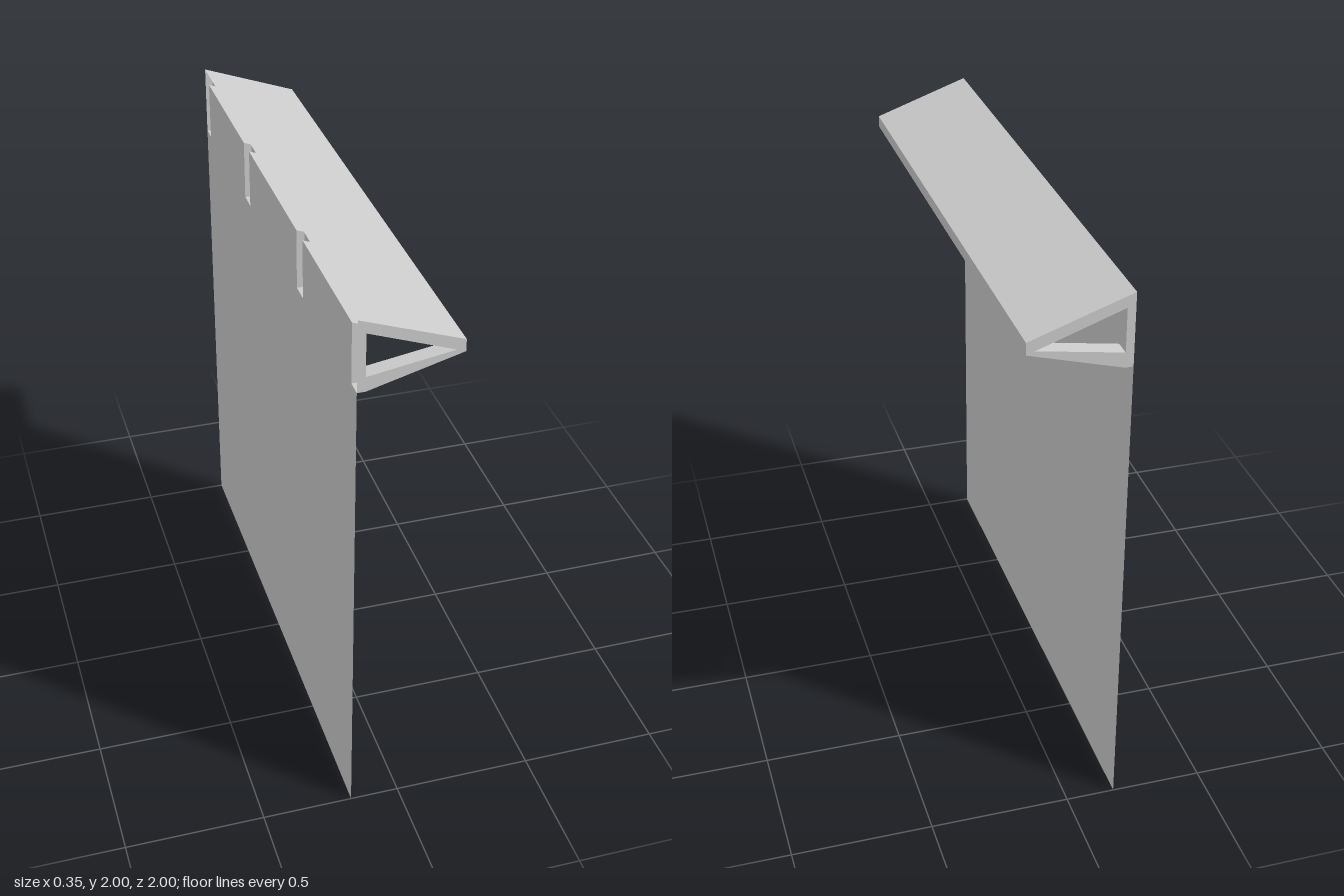
import * as THREE from 'three';

const BACK = -0.175, INNER = -0.147, FRONT = 0.175, SEAT = 1.96;
// z ranges of the four brackets, front to back
const BRACKETS = [[0.943, 1], [0.322, 0.396], [-0.386, -0.311], [-1, -0.94]];

const material = new THREE.MeshStandardMaterial({ color: 0xcccccc, side: THREE.DoubleSide, flatShading: true });

function add(parent, name, geometry) {
  const mesh = new THREE.Mesh(geometry, material);
  mesh.name = name;
  parent.add(mesh);
  return mesh;
}

const shapeOf = (points) => new THREE.Shape(points.map(([x, y]) => new THREE.Vector2(x, y)));

// Sheet swept along z from a profile in x and y, open at both ends
function sheet(profile, z0, z1) {
  const positions = [];
  for (let i = 0; i < profile.length - 1; i++) {
    const [ax, ay] = profile[i], [bx, by] = profile[i + 1];
    positions.push(ax, ay, z0, bx, by, z0, bx, by, z1, ax, ay, z0, bx, by, z1, ax, ay, z1);
  }
  const geometry = new THREE.BufferGeometry();
  geometry.setAttribute('position', new THREE.Float32BufferAttribute(positions, 3));
  geometry.computeVertexNormals();
  return geometry;
}

export function createModel() {
  const model = new THREE.Group();
  model.name = 'wallCanopy';

  // Thin wall, notched behind each bracket
  const outline = [[-1, 0], [1, 0]];
  for (const [z0, z1] of BRACKETS) {
    outline.push([z1, SEAT], [z1, 1.743], [z0, 1.743], [z0, SEAT]);
  }
  // The end notches reach the wall's edges, so their outer corners fall away
  const wallPoints = outline.filter(([z, y]) => !(Math.abs(z) === 1 && y === SEAT));
  const wall = new THREE.ShapeGeometry(shapeOf(wallPoints));
  wall.rotateY(-Math.PI / 2).translate(BACK, 0, 0);
  add(model, 'wall', wall);

  // Sloping roof slab, open where it meets the wall
  const roof = new THREE.Group();
  roof.name = 'roof';
  model.add(roof);
  add(roof, 'roofSlab', sheet([[BACK, 2], [FRONT, 1.876], [FRONT, 1.833], [INNER, 1.95]], -1, 1));
  const roofEnd = new THREE.ShapeGeometry(shapeOf([[BACK, SEAT], [FRONT, 1.833], [FRONT, 1.876], [BACK, 2]]));
  for (const z of [-1, 1]) add(roof, 'roofEnd', roofEnd).position.z = z;
  // Rear strip of the underside between the brackets
  for (let i = 0; i < BRACKETS.length - 1; i++) {
    add(roof, 'rearUnderside', sheet([[INNER, 1.95], [BACK, SEAT]], BRACKETS[i + 1][1], BRACKETS[i][0]));
  }

  // Hollow brackets: post and slanted arm, open at the back
  const profile = [[BACK, 1.743], [INNER, 1.743], [FRONT, 1.833], [0.148, 1.844],
    [INNER, 1.796], [INNER, 1.95], [BACK, SEAT]];
  const side = new THREE.ShapeGeometry(shapeOf(profile));
  for (const [z0, z1] of BRACKETS) {
    const bracket = new THREE.Group();
    bracket.name = 'bracket';
    add(bracket, 'postAndArm', sheet(profile.slice(0, 6), z0, z1));
    for (const z of [z0, z1]) add(bracket, 'bracketSide', side).position.z = z;
    model.add(bracket);
  }
  return model;
}
